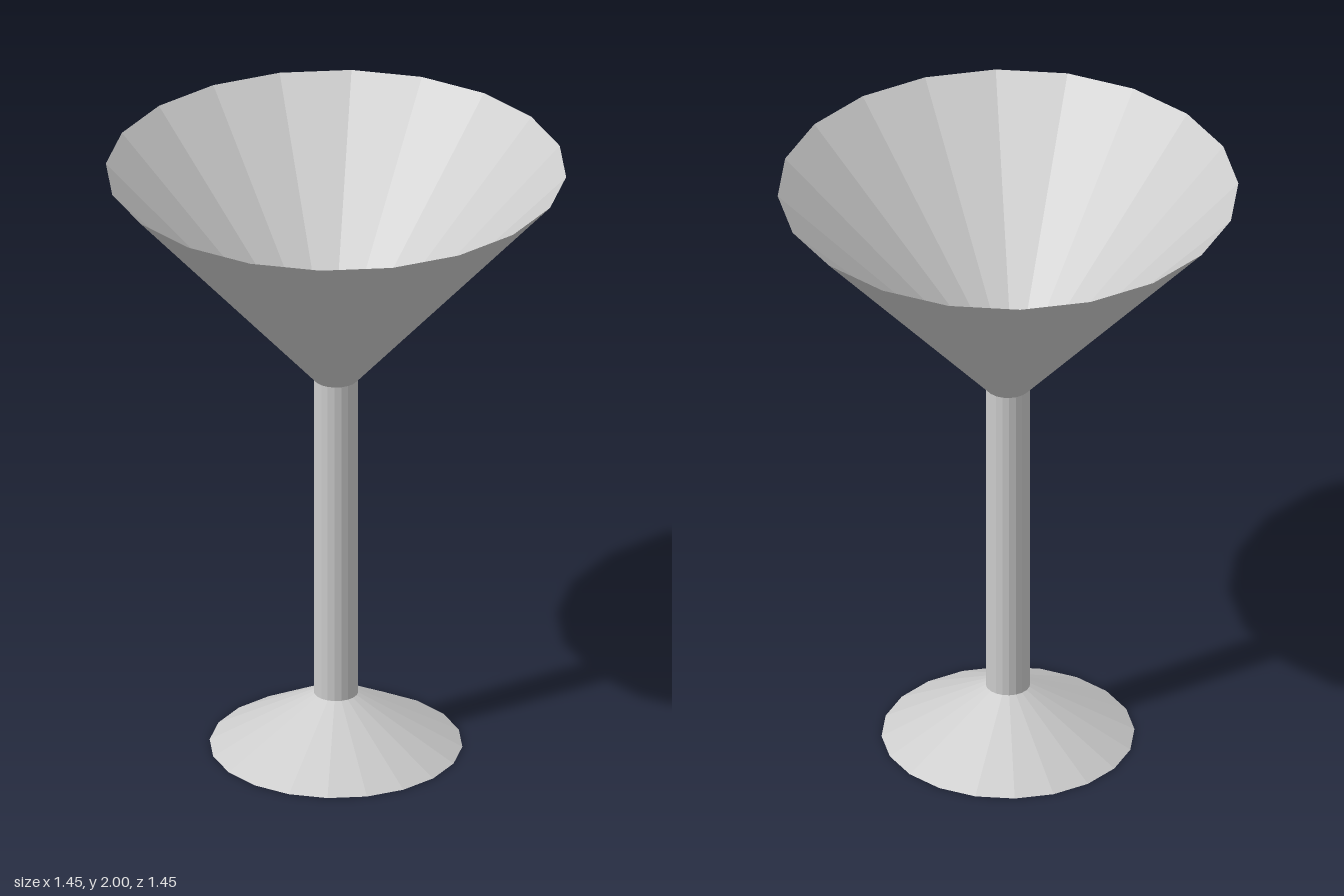
import * as THREE from 'three';

const SIDES = 20;
const RIM_Y = 2, BOWL_Y = 1.275, FOOT_Y = 0.18, FLOOR_Y = 1.29;
const RIM_R = 0.725, STEM_R = 0.07, FOOT_R = 0.398, FLOOR_R = 0.04;
const FLOOR_SHIFT = -0.022;

function makeMaterial(side = THREE.FrontSide) {
  return new THREE.MeshStandardMaterial({ color: 0xcccccc, flatShading: true, side });
}

// Tapered ring of facets between two heights
function taper(name, rTop, rBottom, y0, y1, open, side) {
  const geometry = new THREE.CylinderGeometry(rTop, rBottom, y1 - y0, SIDES, 1, open);
  geometry.translate(0, (y0 + y1) / 2, 0);
  const mesh = new THREE.Mesh(geometry, makeMaterial(side));
  mesh.name = name;
  return mesh;
}

export function createModel() {
  const glass = new THREE.Group();
  glass.name = 'cocktailGlass';

  // Foot and stem
  glass.add(taper('foot', STEM_R, FOOT_R, 0, FOOT_Y, false));
  glass.add(taper('stem', STEM_R, STEM_R, FOOT_Y, BOWL_Y, true));

  // Bowl: outer wall and inner wall meet in a sharp rim
  const bowl = new THREE.Group();
  bowl.name = 'bowl';
  bowl.add(taper('bowlOuterWall', RIM_R, STEM_R, BOWL_Y, RIM_Y, true));

  // Inner wall narrows to a slightly off-centre floor
  const inner = taper('bowlInnerWall', RIM_R, FLOOR_R, FLOOR_Y, RIM_Y, true, THREE.BackSide);
  const pos = inner.geometry.attributes.position;
  for (let i = 0; i < pos.count; i++) {
    if (pos.getY(i) < RIM_Y - 0.1) pos.setX(i, pos.getX(i) + FLOOR_SHIFT);
  }
  inner.geometry.computeVertexNormals();
  bowl.add(inner);

  // Small flat floor inside the bowl
  const floor = new THREE.Mesh(new THREE.CircleGeometry(FLOOR_R, SIDES), makeMaterial());
  floor.name = 'bowlFloor';
  floor.rotation.x = -Math.PI / 2;
  floor.position.set(FLOOR_SHIFT, FLOOR_Y, 0);
  bowl.add(floor);

  glass.add(bowl);
  return glass;
}
